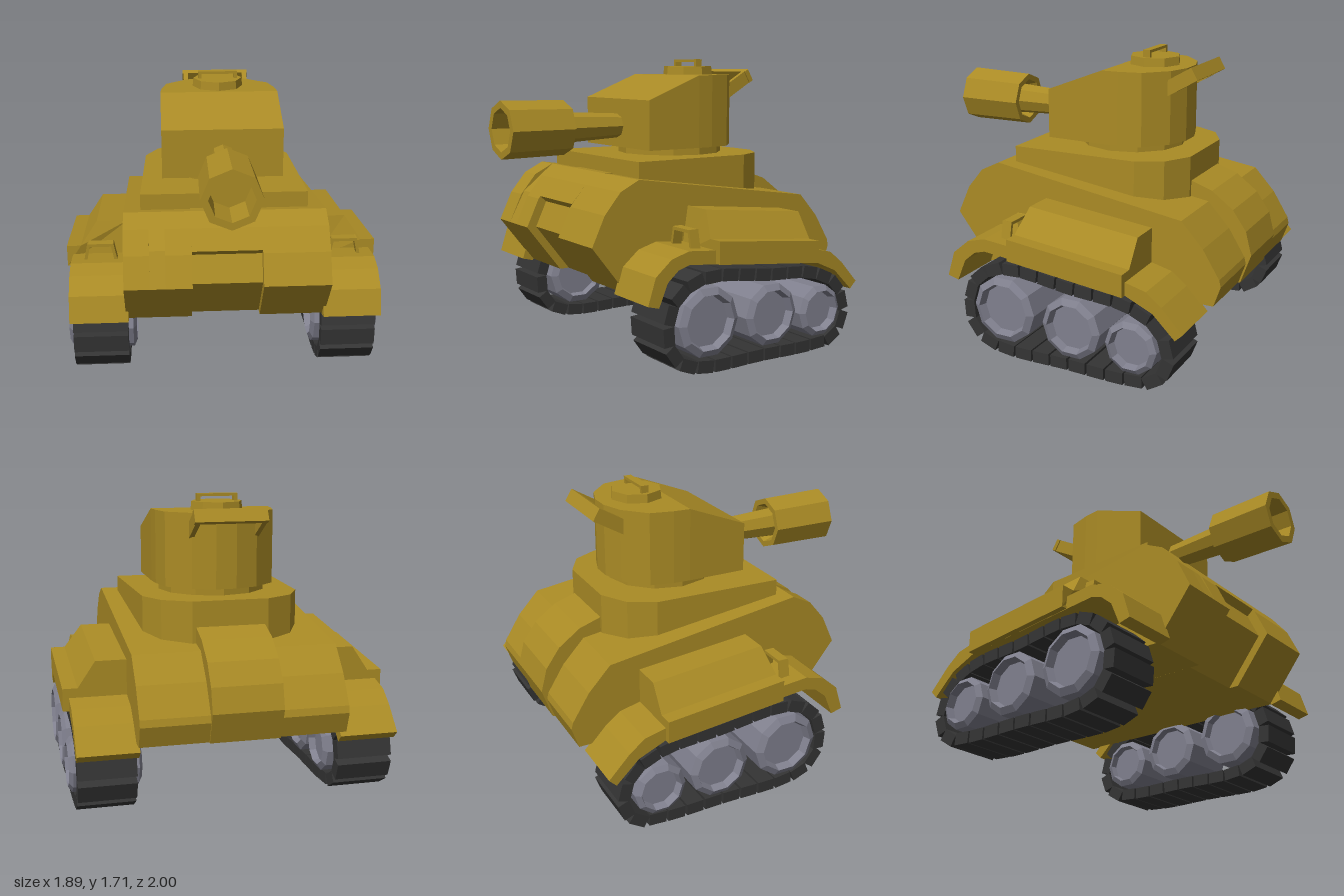
import * as THREE from 'three';

const mat = (name, color) => {
  const m = new THREE.MeshStandardMaterial({ color });
  m.name = name;
  return m;
};

// Faceted normals for low-poly parts
function facet(geo) {
  const g = geo.index ? geo.toNonIndexed() : geo;
  g.computeVertexNormals();
  return g;
}

const toShape = pts => new THREE.Shape(pts.map(([a, b]) => new THREE.Vector2(a, b)));
const extrude = (pts, depth) => new THREE.ExtrudeGeometry(toShape(pts), { depth, bevelEnabled: false });

// Side profile [z, y] extruded across x0..x1
const slab = (pts, x0, x1) => extrude(pts, x1 - x0).rotateY(-Math.PI / 2).translate(x1, 0, 0);
// Plan outline [x, z] extruded across y0..y1
const plan = (pts, y0, y1) => extrude(pts, y1 - y0).rotateX(Math.PI / 2).translate(0, y1, 0);
// Mirrors half an outline (x > 0) to the other side
const mirrored = half => [...half, ...half.map(([x, z]) => [-x, z]).reverse()];
const lathe = (pts, sides) => facet(new THREE.LatheGeometry(pts.map(([r, h]) => new THREE.Vector2(r, h)), sides));

export function createModel() {
  const model = new THREE.Group();
  model.name = 'tank';
  const paint = mat('ochre paint', 0xaa8b25);
  const steel = mat('wheel grey', 0x80808e);
  const rubber = mat('track black', 0x343434);

  function add(name, geo, material = paint, parent = model) {
    const mesh = new THREE.Mesh(geo, material);
    mesh.name = name;
    parent.add(mesh);
    return mesh;
  }
  const box = (name, w, h, d, x, y, z, parent = model) =>
    add(name, new THREE.BoxGeometry(w, h, d).translate(x, y, z), paint, parent);

  // Hull: outer bodies, a small clipped notch, and a centre strip recessed in front and raised behind
  const rear = [[-0.73, 0.88], [-0.86, 0.74], [-0.96, 0.58], [-0.97, 0.54], [-0.93, 0.42]];
  const side = [[0.53, 0.42], [0.75, 0.70], [0.67, 0.87], [0.57, 0.99], [0.45, 1.05], ...rear];
  const notch = [[0.53, 0.42], [0.75, 0.70], [0.65, 0.89], [0.45, 1.05], ...rear];
  const centre = [
    [0.47, 0.42], [0.69, 0.70], [0.62, 0.85], [0.66, 0.885], [0.57, 0.99], [0.45, 1.05],
    [-0.60, 0.995], [-0.75, 0.945], [-0.88, 0.85], [-0.963, 0.733], [-1.0, 0.594], [-0.94, 0.417],
  ];
  add('hullLeft', slab(side, 0.2, 0.585));
  add('hullCentre', slab(centre, -0.2, 0.2));
  add('hullRightInner', slab(side, -0.35, -0.2));
  add('hullNotch', slab(notch, -0.44, -0.35));
  add('hullRightOuter', slab(side, -0.585, -0.44));

  // Deck under the turret and the turret ring
  add('turretDeck', plan(mirrored([[0.487, 0.39], [0.46, -0.38], [0.38, -0.53], [0.22, -0.62]]), 0.86, 1.135));
  add('turretRing', facet(new THREE.CylinderGeometry(0.32, 0.32, 0.08, 12).translate(0, 1.15, -0.15)));

  // Turret: sloped front block and rounded back
  add('turretFront', slab([[0.235, 1.18], [0.235, 1.47], [-0.12, 1.61], [-0.12, 1.18]], -0.357, 0.357));
  add('turretBack', plan(mirrored([[0.357, -0.12], [0.35, -0.22], [0.32, -0.355], [0.19, -0.475], [0.06, -0.52]]), 1.18, 1.61));

  // Gun barrel and hollow muzzle
  const barrel = new THREE.CylinderGeometry(0.095, 0.07, 0.5, 8).rotateX(Math.PI / 2).translate(0, 1.308, 0.43);
  add('barrel', facet(barrel));
  const muzzle = lathe([
    [0, 0.67], [0.1, 0.67], [0.125, 0.6], [0.16, 0.6], [0.167, 1.0], [0.125, 1.0], [0.12, 0.78], [0, 0.78],
  ], 8);
  add('muzzle', muzzle.rotateX(Math.PI / 2).translate(0, 1.308, 0));

  // Hatch with its grip
  add('hatch', facet(new THREE.CylinderGeometry(0.15, 0.155, 0.05, 8).translate(0, 1.637, -0.287)));
  box('hatchGrip', 0.24, 0.016, 0.045, 0, 1.697, -0.287);
  for (const s of [-1, 1]) box('hatchGripPost', 0.02, 0.045, 0.045, s * 0.11, 1.68, -0.287);

  // Tilted rail behind the turret
  const rail = new THREE.Group();
  rail.name = 'rearRail';
  rail.position.set(0, 1.5, -0.44);
  rail.rotation.x = 0.53;
  model.add(rail);
  box('railBar', 0.42, 0.08, 0.03, 0, 0, -0.2, rail);
  for (const s of [-1, 1]) box('railArm', 0.028, 0.08, 0.2, s * 0.19, 0, -0.1, rail);

  // Running gear profiles
  const fender = [
    [0.604, 0.428], [0.556, 0.578], [0.455, 0.663], [0.342, 0.695], [0.166, 0.68],
    [-0.556, 0.61], [-0.68, 0.58], [-0.77, 0.51], [-0.893, 0.38],
    [-0.85, 0.337], [-0.717, 0.465], [-0.556, 0.535], [0.166, 0.604], [0.342, 0.62],
    [0.41, 0.6], [0.48, 0.54], [0.535, 0.41],
  ];
  const bin = [[0.57, 0.604], [0.945, 0.604], [0.945, 0.733], [0.86, 0.733], [0.76, 0.882], [0.57, 0.882]];
  const loop = [
    [0.22, 0.035], [-0.17, 0.035], [-0.56, 0.035], [-0.71, 0.06], [-0.79, 0.15], [-0.795, 0.26], [-0.73, 0.38],
    [-0.56, 0.465], [-0.2, 0.5], [0.15, 0.535], [0.3, 0.51], [0.42, 0.42], [0.465, 0.27], [0.44, 0.15], [0.36, 0.07],
  ];
  const path = new THREE.CatmullRomCurve3(loop.map(([z, y]) => new THREE.Vector3(0, y, z)), true);
  const wheels = [[0.214, 0.29, 0.2], [-0.225, 0.27, 0.183], [-0.594, 0.24, 0.155]];
  const LINKS = 26;

  for (const s of [1, -1]) {
    const label = s > 0 ? 'left' : 'right';
    const span = s > 0 ? [0.57, 0.91] : [-0.91, -0.57];
    add(label + 'Fender', slab(fender, ...span));

    // Storage bin, sheared to follow the fender with a raked front
    const geo = extrude(bin.map(([x, y]) => [s * x, y]), 0.722).translate(0, 0, -0.556);
    const p = geo.attributes.position;
    for (let i = 0; i < p.count; i++) {
      const y = p.getY(i);
      let z = p.getZ(i);
      if (z > 0 && y > 0.8) z -= 0.043;
      p.setXYZ(i, p.getX(i), y + 0.1 * (z - 0.14), z);
    }
    add(label + 'Bin', facet(geo));

    // Lamp guard on the front fender
    box(label + 'GuardBar', 0.14, 0.018, 0.06, s * 0.735, 0.778, 0.245);
    for (const d of [-1, 1]) {
      const post = box(label + 'GuardPost', 0.018, 0.11, 0.06, 0, 0, 0);
      post.position.set(s * 0.735 + d * 0.08, 0.733, 0.245);
      post.rotation.z = d * 0.2;
    }

    // Road wheels with recessed hubs
    for (const [z, y, r] of wheels) {
      const g = lathe([
        [0, 0.57], [r * 0.72, 0.57], [r * 0.78, 0.53], [r, 0.55],
        [r, 0.915], [r * 0.8, 0.937], [r * 0.72, 0.89], [0, 0.89],
      ], 10);
      add(label + 'Wheel', g.rotateZ(-s * Math.PI / 2).translate(0, y, z), steel);
    }

    // Track links
    for (let i = 0; i < LINKS; i++) {
      const t = path.getTangentAt(i / LINKS);
      const link = add(label + 'TrackLink', new THREE.BoxGeometry(0.325, 0.07, 0.105), rubber);
      link.position.copy(path.getPointAt(i / LINKS)).setX(s * 0.74);
      link.rotation.x = Math.atan2(-t.y, t.z);
    }
  }
  return model;
}
